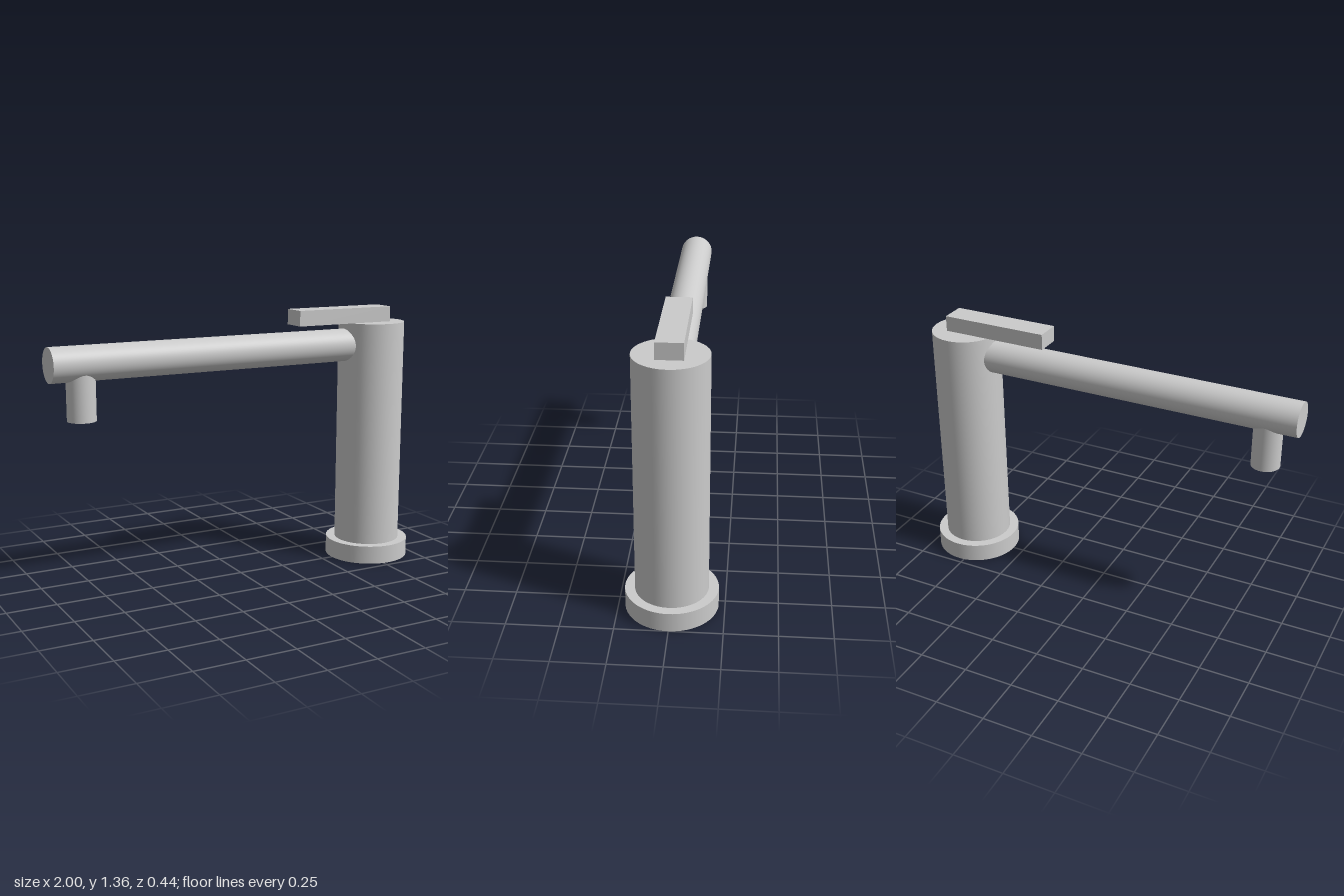
import * as THREE from 'three';

const BODY_X = 0.78;
const SPOUT_Y = 1.16;

export function createModel() {
  const group = new THREE.Group();
  const material = new THREE.MeshStandardMaterial({ color: 0xcccccc });

  const add = (name, geometry, x, y, z = 0) => {
    const mesh = new THREE.Mesh(geometry, material);
    mesh.name = name;
    mesh.position.set(x, y, z);
    group.add(mesh);
    return mesh;
  };

  // Upright cylinder spanning bottom to top
  const upright = (name, radius, bottom, top, x) =>
    add(name, new THREE.CylinderGeometry(radius, radius, top - bottom, 64), x, (bottom + top) / 2);

  // Foot and column
  upright('baseFlange', 0.22, 0, 0.095, BODY_X);
  upright('column', 0.173, 0.095, 1.277, BODY_X);

  // Horizontal spout, running from inside the column to the tip
  const length = BODY_X + 1;
  const spout = add('spout', new THREE.CylinderGeometry(0.085, 0.085, length, 64), BODY_X - length / 2, SPOUT_Y);
  spout.rotation.z = Math.PI / 2;

  // Outlet under the spout tip
  upright('outletNozzle', 0.07, 0.887, SPOUT_Y, -0.845);

  // Flat lever resting on the column
  add('leverHandle', new THREE.BoxGeometry(0.55, 0.079, 0.125), 0.58, 1.3165);

  return group;
}
